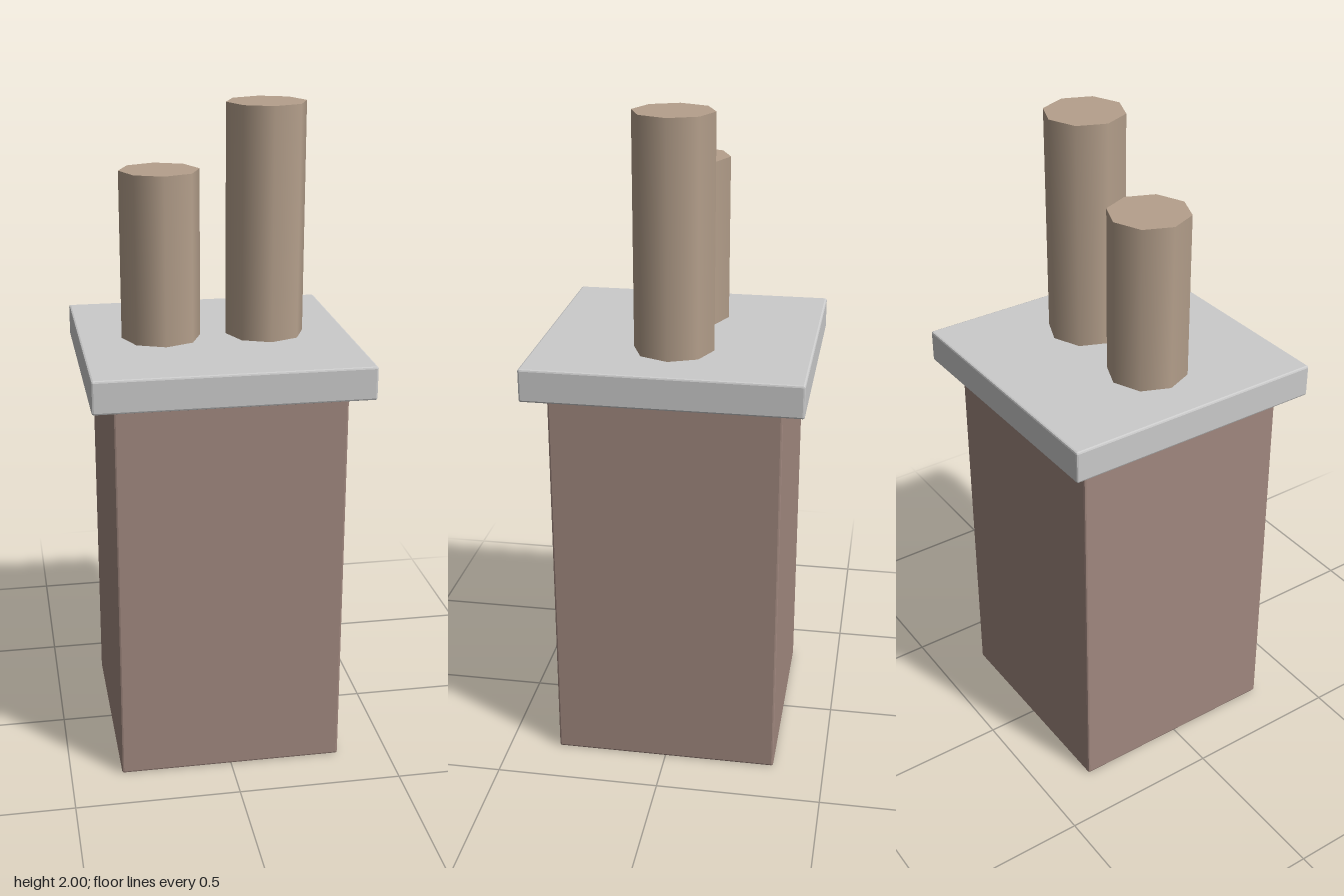
import * as THREE from 'three';
import { RoundedBoxGeometry } from 'three/addons/geometries/RoundedBoxGeometry.js';

// Square block with a narrow chamfer on every edge, resting on height y
function block(name, width, height, y, color) {
  const mesh = new THREE.Mesh(
    new RoundedBoxGeometry(width, height, width, 1, 0.006),
    new THREE.MeshStandardMaterial({ color, flatShading: true })
  );
  mesh.name = name;
  mesh.position.y = y + height / 2;
  return mesh;
}

// Eight-sided flue pot with smooth sides and a closed top
function pot(name, x, bottom, top) {
  const mesh = new THREE.Mesh(
    new THREE.CylinderGeometry(0.12, 0.12, top - bottom, 8),
    new THREE.MeshStandardMaterial({ color: 0xb5a08c })
  );
  mesh.name = name;
  mesh.position.set(x, (bottom + top) / 2, 0);
  return mesh;
}

export function createModel() {
  const chimney = new THREE.Group();
  chimney.name = 'chimney';
  chimney.add(
    block('stack', 0.686, 1.205, 0, 0xa1887f),
    block('capSlab', 0.818, 0.1, 1.205, 0xcccccc),
    pot('leftPot', 0.158, 1.3, 2),
    pot('rightPot', -0.16, 1.3, 1.81)
  );
  return chimney;
}
